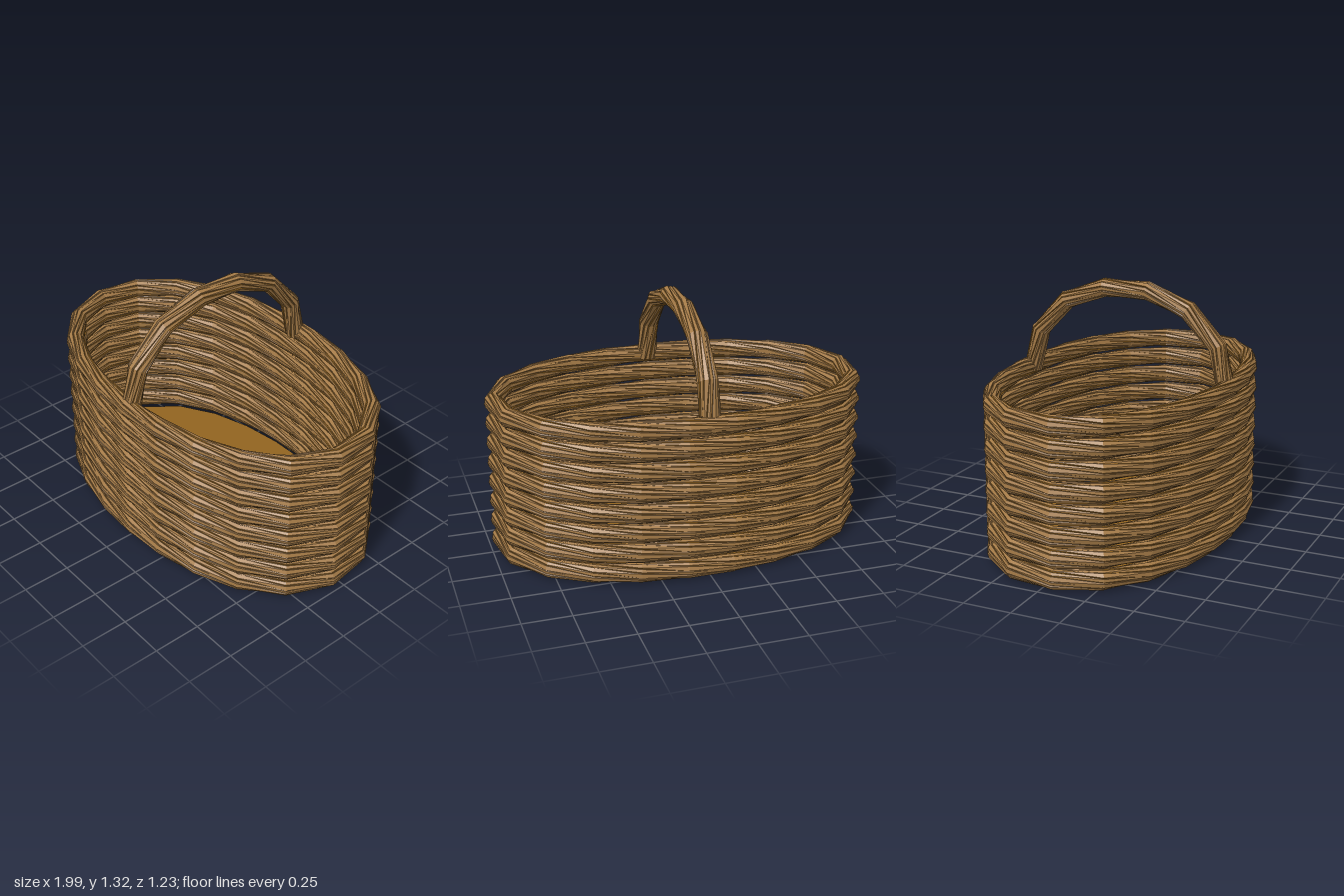
import * as THREE from 'three';

const mat = (name, color) => new THREE.MeshStandardMaterial({ name, color });

// Oval arc with slightly full corners, measured from the +v axis towards +u
class FullOval extends THREE.Curve {
  constructor(a, b, centreV, start, sweep) {
    super();
    Object.assign(this, { a, b, centreV, start, sweep });
  }

  getPoint(t, target = new THREE.Vector2()) {
    const phi = this.start + t * this.sweep;
    const full = 1 + 0.022 * Math.sin(2 * phi) ** 2;
    return target.set(this.a * full * Math.sin(phi), this.centreV + this.b * full * Math.cos(phi));
  }
}

// Six-lobed rope section, two strands per lobe: [angle, radius]
function ropeSection(radius) {
  const pts = [];
  // crest start, crest end, groove bottom of each strand: [fraction of lobe, depth]
  const strands = [[0, 1], [0.42, 1], [0.5, 0.91], [0.56, 1], [0.88, 1], [0.95, 0.88]];
  for (let lobe = 0; lobe < 6; lobe++) {
    strands.forEach(([f, depth]) => {
      const swell = 0.905 + 0.095 * Math.cos(2 * Math.PI * (f - 0.2));
      pts.push([(lobe + f - 0.2) * Math.PI / 3, radius * swell * depth]);
    });
  }
  return pts;
}

// Twisted rope along a flat curve; place(u, v, w) maps curve plane + side offset to space
function twistedRope(curve, segments, radius, place) {
  const section = ropeSection(radius);
  const n = section.length;
  const twist = THREE.MathUtils.degToRad(40);
  const rows = [];
  for (let j = 0; j <= segments; j++) {
    const p = curve.getPointAt(j / segments);
    const t = curve.getTangentAt(j / segments);
    rows.push(section.map(([angle, r]) => {
      const a = angle - j * twist;
      const out = 0.9 * r * Math.cos(a);
      return place(p.x - t.y * out, p.y + t.x * out, r * Math.sin(a));
    }));
  }
  const geo = new THREE.BufferGeometry();
  const pos = [];
  // each strand has a crest and two groove sides, one material group for each
  for (let facet = 0; facet < 3; facet++) {
    const start = pos.length / 3;
    for (let j = 0; j < segments; j++) {
      for (let k = facet; k < n; k += 3) {
        const k2 = (k + 1) % n;
        const [a, b, c, d] = [rows[j][k], rows[j + 1][k], rows[j + 1][k2], rows[j][k2]];
        [a, b, c, a, c, d].forEach((v) => pos.push(...v));
      }
    }
    geo.addGroup(start, pos.length / 3 - start, facet);
  }
  geo.setAttribute('position', new THREE.Float32BufferAttribute(pos, 3));
  geo.computeVertexNormals();
  return geo;
}

export function createModel() {
  const basket = new THREE.Group();
  basket.name = 'basket';
  const base = mat('baseBrown', 0x926420);
  base.side = THREE.DoubleSide;
  const wicker = [mat('wicker', 0xa57b47), mat('wickerGroove', 0x86643a), base];

  // Stacked oval rings forming the wall
  const oval = new FullOval(0.952, 0.568, 0, 0, Math.PI * 2);
  const ringGeo = twistedRope(oval, 21, 0.056, (x, z, y) => [x, y, z]);
  for (let i = 0; i < 8; i++) {
    const ring = new THREE.Mesh(ringGeo, wicker);
    ring.name = `wallRing${i + 1}`;
    ring.position.y = 0.058 + i * 0.108;
    basket.add(ring);
  }

  // Arched handle running front to back
  const arch = new FullOval(0.555, 0.493, 0.79, -Math.PI / 2, Math.PI);
  const handle = new THREE.Mesh(twistedRope(arch, 7, 0.059, (z, y, x) => [x, y, z]), wicker);
  handle.name = 'handle';
  basket.add(handle);

  // Flat oval floor
  const floorShape = new THREE.Shape(oval.getSpacedPoints(21).slice(0, 21));
  const floor = new THREE.Mesh(new THREE.ShapeGeometry(floorShape), base);
  floor.name = 'floor';
  floor.rotation.x = Math.PI / 2;
  floor.scale.set(0.965, 0.96, 1);
  floor.position.y = 0.003;
  basket.add(floor);

  return basket;
}
